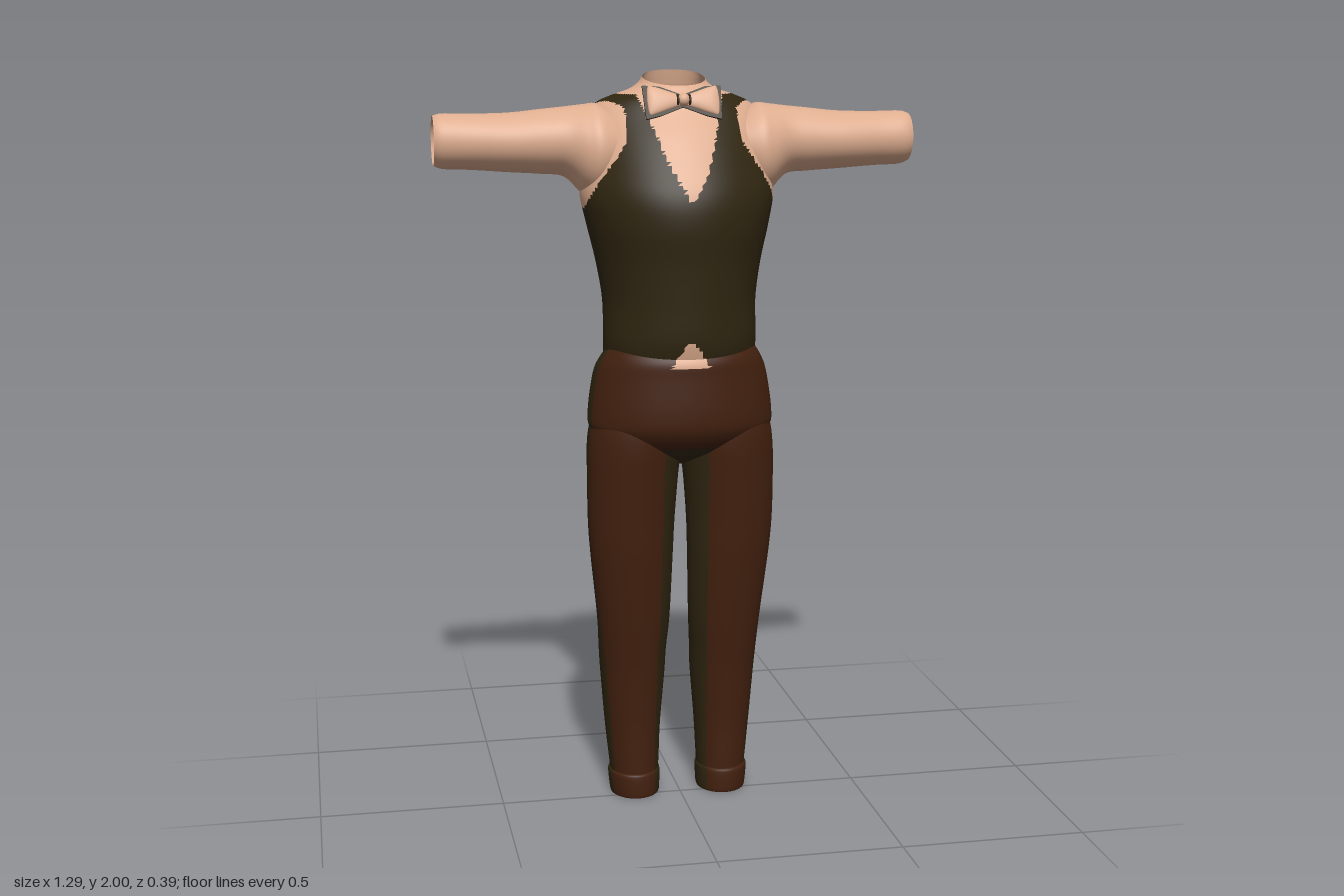
import * as THREE from 'three';

const mat = (name, color) => {
  const m = new THREE.MeshStandardMaterial({ color, side: THREE.DoubleSide });
  m.name = name;
  return m;
};

// Smooth interpolation between rows of numbers
function smoothRows(rings, sub) {
  const out = [];
  const at = (i) => rings[Math.min(Math.max(i, 0), rings.length - 1)];
  for (let i = 0; i < rings.length - 1; i++) {
    for (let s = 0; s < sub; s++) {
      const t = s / sub;
      out.push(rings[i].map((b, k) => {
        const a = at(i - 1)[k], c = at(i + 1)[k], d = at(i + 2)[k];
        return b + 0.5 * t * (c - a + t * (2 * a - 5 * b + 4 * c - d + t * (3 * (b - c) + d - a)));
      }));
    }
  }
  out.push(rings[rings.length - 1]);
  return out;
}

// Tube through cross-sections [along, aMin, aMax, front, back, tilt].
// axis 'y' stacks them upward, axis 'x' sideways; side -1 mirrors in x.
function loft(rings, { axis = 'y', side = 1, cols = 64, sub = 6, mid = 0.5, backPower = 1 } = {}) {
  const rows = smoothRows(rings, sub), pos = [], index = [];
  const pow = (v, e) => Math.sign(v) * Math.abs(v) ** e;
  for (const [along, a0, a1, f, b, tilt] of rows) {
    const c = b + (f - b) * mid;
    for (let j = 0; j < cols; j++) {
      const t = (j / cols) * Math.PI * 2, s = Math.sin(t);
      const e = s < 0 ? backPower : 1;
      const a = (a0 + a1) / 2 + ((a1 - a0) / 2) * pow(Math.cos(t), e);
      const z = c + (s > 0 ? f - c : c - b) * pow(s, e);
      const l = along - tilt * s;
      if (axis === 'y') pos.push(a * side, l, z);
      else pos.push(l * side, a, z);
    }
  }
  const flip = (axis === 'x') !== (side < 0);
  for (let i = 0; i < rows.length - 1; i++) {
    for (let j = 0; j < cols; j++) {
      const k = (j + 1) % cols;
      const p = i * cols + j, q = p + cols, r = i * cols + k, u = r + cols;
      if (flip) index.push(p, r, q, q, r, u);
      else index.push(p, q, r, q, u, r);
    }
  }
  const g = new THREE.BufferGeometry();
  g.setAttribute('position', new THREE.Float32BufferAttribute(pos, 3));
  g.setIndex(index);
  g.computeVertexNormals();
  return g;
}

// Sort faces into material groups by a rule on their centre; -1 cuts the face away
function paint(g, count, rule) {
  const p = g.attributes.position, src = g.index.array;
  const lists = Array.from({ length: count }, () => []);
  for (let i = 0; i < src.length; i += 3) {
    const c = new THREE.Vector3();
    for (let k = 0; k < 3; k++) c.add(new THREE.Vector3().fromBufferAttribute(p, src[i + k]));
    c.divideScalar(3);
    const m = rule(Math.abs(c.x), c.y, c.z);
    if (m >= 0) lists[m].push(src[i], src[i + 1], src[i + 2]);
  }
  g.setIndex(lists.flat());
  let start = 0;
  lists.forEach((l, m) => { g.addGroup(start, l.length, m); start += l.length; });
  return g;
}

export function createModel() {
  const model = new THREE.Group();
  const shirt = mat('shirt peach', 0xdfae90);
  const vest = mat('vest dark olive', 0x302611);
  const trousers = mat('trouser brown', 0x43210f);
  const add = (name, geometry, material, parent = model) => {
    const mesh = new THREE.Mesh(geometry, material);
    mesh.name = name;
    parent.add(mesh);
    return mesh;
  };
  const wide = ([y, w, f, b, tilt = 0]) => [y, -w, w, f, b, tilt];
  const plain = (r) => [...r, 0];
  const inside = (y, z, cy, cz, ry, rz) => ((y - cy) / ry) ** 2 + ((z - cz) / rz) ** 2 < 1;
  const shirtGap = (x, y, z) => z > 0.08 && y > 1.235 && y < 1.3 && x < 0.01 + (1.3 - y) * 0.65;

  // Torso: vest with V neck, shirt armholes and neckband
  const torso = loft([
    [1.23, 0.205, 0.15, -0.115], [1.3, 0.207, 0.168, -0.108], [1.4, 0.207, 0.175, -0.128],
    [1.5, 0.222, 0.183, -0.15], [1.6, 0.245, 0.195, -0.17], [1.68, 0.26, 0.185, -0.185],
    [1.76, 0.252, 0.145, -0.19], [1.83, 0.24, 0.1, -0.188], [1.88, 0.233, 0.06, -0.182],
    [1.915, 0.208, 0.035, -0.175], [1.935, 0.165, 0.022, -0.162], [1.95, 0.12, 0.012, -0.152, 0.004],
    [1.965, 0.096, 0.005, -0.147, 0.01], [1.98, 0.084, 0, -0.142, 0.02],
  ].map(wide), { cols: 128, sub: 8, mid: 0.36, backPower: 0.8 });
  paint(torso, 2, (x, y, z) => {
    if (x > 0.15 && inside(y, z, 1.815, -0.068, 0.085, 0.08)) return -1;
    if (x > 0.15 && inside(y, z, 1.78, -0.055, 0.14, 0.125)) return 1;
    const v = y < 1.75 ? (y - 1.66) * 0.56 : 0.05 + (y - 1.75) * 0.35;
    if (y > 1.938 || (z > -0.04 && x < v)) return 1;
    return shirtGap(x, y, z) ? 1 : 0;
  });
  add('vest and shirt front', torso, [vest, shirt]);

  // Side seam and inner leg panels in the darker cloth
  const panel = (x, y, z) =>
    x < 0.06 + 0.015 * (1 - y) ||
    (x > 0.14 && z < 0.02 - 0.03 * (1 - y) && z > -0.05 - 0.08 * (1 - y));

  // Seat of the trousers
  const hips = loft([
    [0.95, 0.03, 0.02, -0.04], [0.97, 0.12, 0.07, -0.08], [1.0, 0.2, 0.12, -0.12],
    [1.05, 0.245, 0.16, -0.145], [1.1, 0.251, 0.17, -0.16], [1.2, 0.236, 0.166, -0.16],
    [1.245, 0.218, 0.163, -0.138], [1.275, 0.198, 0.145, -0.1],
  ].map(wide), { cols: 96, mid: 0.48, backPower: 0.9 });
  paint(hips, 3, (x, y, z) => {
    if (shirtGap(x, y, z)) return 2;
    if (y < 1.01 && x < 0.07) return 1;
    return x > 0.16 && z < 0.03 && z > -0.04 ? 1 : 0;
  });
  add('trouser seat', hips, [trousers, vest, shirt]);

  for (const side of [1, -1]) {
    const label = side > 0 ? 'left' : 'right';

    // Trouser leg
    const leg = loft([
      [0.01, 0.06, 0.185, 0.03, -0.11], [0.1, 0.055, 0.195, 0.033, -0.12],
      [0.2, 0.05, 0.205, 0.036, -0.13], [0.35, 0.038, 0.217, 0.05, -0.137],
      [0.42, 0.035, 0.222, 0.06, -0.131], [0.52, 0.028, 0.229, 0.075, -0.108],
      [0.7, 0.022, 0.248, 0.1, -0.1], [0.8, 0.018, 0.255, 0.11, -0.1],
      [0.92, 0.009, 0.256, 0.122, -0.108], [1.0, 0, 0.255, 0.13, -0.126],
      [1.06, 0, 0.247, 0.13, -0.13], [1.12, 0.02, 0.225, 0.12, -0.12],
    ].map(plain), { side, backPower: 0.9 });
    add(label + ' trouser leg', paint(leg, 2, (x, y, z) => (panel(x, y, z) ? 1 : 0)), [trousers, vest]);

    // Turned-up cuff
    const cuff = loft([
      [0, 0.06, 0.187, 0.034, -0.113], [0.005, 0.055, 0.192, 0.04, -0.12],
      [0.06, 0.053, 0.197, 0.04, -0.123], [0.068, 0.058, 0.19, 0.032, -0.115],
    ].map(plain), { side, sub: 4, backPower: 0.9 });
    add(label + ' cuff', paint(cuff, 2, (x, y, z) => (panel(x, y, z) ? 1 : 0)), [trousers, vest]);

    // Open-ended sleeve
    add(label + ' sleeve', loft([
      [0.17, 1.7, 1.89, 0.05, -0.16], [0.215, 1.665, 1.914, 0.065, -0.182],
      [0.25, 1.675, 1.912, 0.055, -0.184], [0.3, 1.722, 1.906, 0.03, -0.179],
      [0.36, 1.73, 1.9, 0.024, -0.173], [0.45, 1.736, 1.891, 0.02, -0.164],
      [0.55, 1.743, 1.889, 0.006, -0.152], [0.62, 1.746, 1.89, 0.001, -0.143],
      [0.645, 1.755, 1.884, -0.008, -0.136],
    ].map(plain), { axis: 'x', side }), shirt);
  }

  // Bow tie leaning back against the collar
  const bow = new THREE.Group();
  bow.name = 'bow tie';
  bow.position.set(0, 1.922, 0.042);
  bow.rotation.x = -0.45;
  model.add(bow);
  for (const side of [1, -1]) {
    const label = side > 0 ? 'left' : 'right';
    add(label + ' bow wing', loft([
      [0.008, -0.014, 0.014, 0.01, -0.004], [0.04, -0.026, 0.026, 0.014, -0.006],
      [0.075, -0.038, 0.038, 0.014, -0.006], [0.092, -0.038, 0.038, 0.009, -0.004],
      [0.096, -0.001, 0.001, 0.004, 0.002],
    ].map(plain), { axis: 'x', side, cols: 24, sub: 4 }), shirt, bow);
    const band = add(label + ' knot edge', new THREE.TorusGeometry(0.013, 0.003, 6, 20), vest, bow);
    band.rotation.y = Math.PI / 2;
    band.position.set(side * 0.016, 0, 0.004);
  }
  const knot = add('bow knot', new THREE.SphereGeometry(0.017, 20, 14), shirt, bow);
  knot.position.z = 0.006;

  // Dark trim behind the bow
  const trim = new THREE.Shape([
    [0, -0.016], [0.06, -0.04], [0.1, -0.05], [0.105, 0.045], [0.06, 0.042], [0, 0.018],
    [-0.06, 0.042], [-0.105, 0.045], [-0.1, -0.05], [-0.06, -0.04],
  ].map(([x, y]) => new THREE.Vector2(x, y)));
  const plate = add('bow trim', new THREE.ExtrudeGeometry(trim, { depth: 0.006, bevelEnabled: false }), vest, bow);
  plate.position.z = -0.009;

  return model;
}
